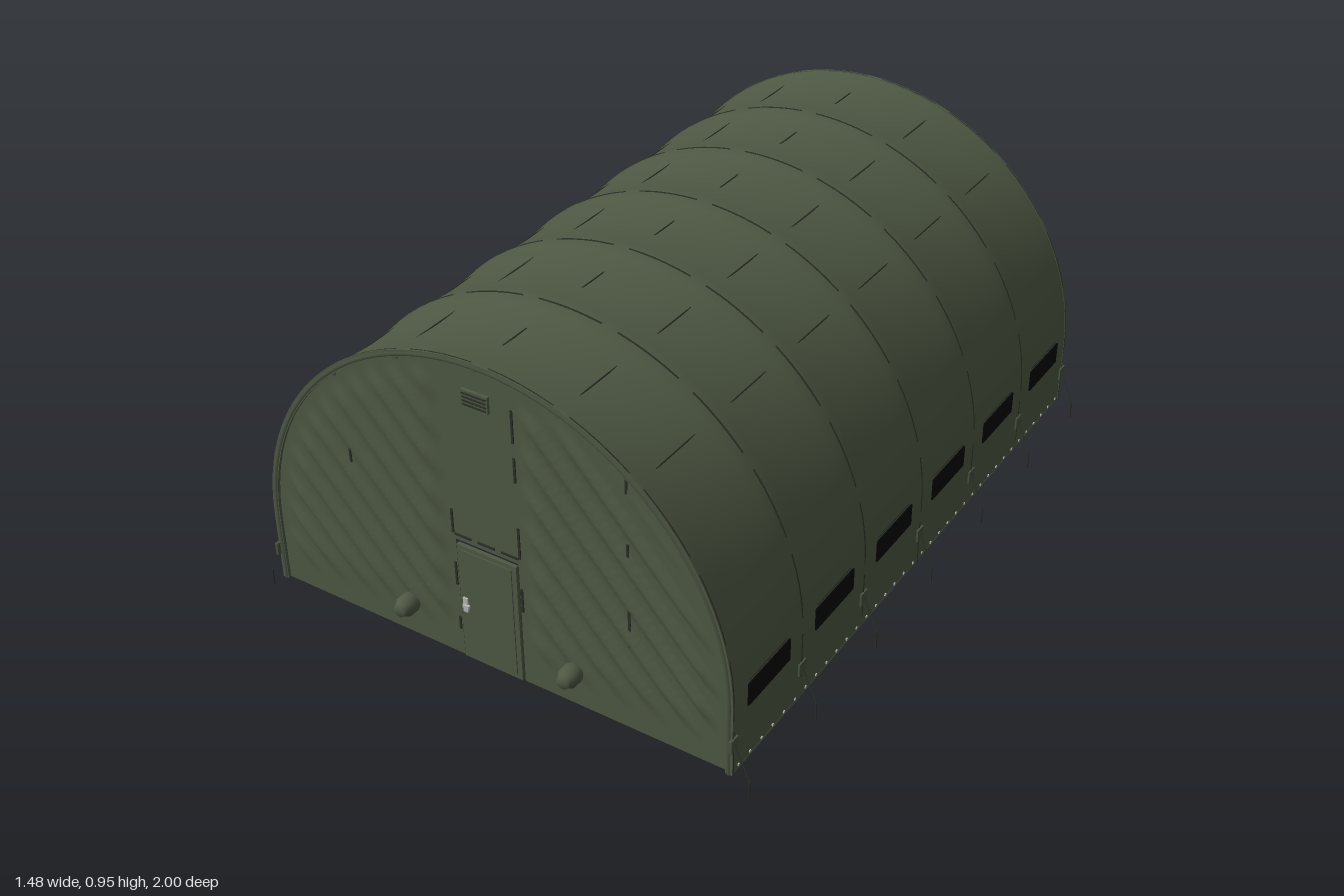
import * as THREE from 'three';
import { mergeGeometries } from 'three/addons/utils/BufferGeometryUtils.js';

const R = 0.695, BASE = 0.05, SPRING = 0.25, END = 0.945, BAY = 0.315;
const paint = (name, color, side = THREE.FrontSide) => {
  const m = new THREE.MeshStandardMaterial({ color, side });
  m.name = name;
  return m;
};
const V = (x, y, z) => new THREE.Vector3(x, y, z);

// Arch outline: straight legs below the spring line, a half circle above
function archPoints(r, z = 0, n = 48) {
  const pts = [];
  for (let i = 0; i < 6; i++) pts.push(V(r, BASE + (SPRING - BASE) * i / 6, z));
  for (let i = 0; i <= n; i++) {
    const a = Math.PI * i / n;
    pts.push(V(r * Math.cos(a), SPRING + r * Math.sin(a), z));
  }
  for (let i = 5; i >= 0; i--) pts.push(V(-r, BASE + (SPRING - BASE) * i / 6, z));
  return pts;
}

// Inward sag of the cloth between the ribs, strongest at the ridge
const sagDepth = up => 0.014 * (0.12 + 0.88 * up);
function sag(z, up) {
  const t = ((z + END) / BAY) % 1;
  return sagDepth(up) * 4 * t * (1 - t);
}

function rod(a, b, r, sides = 6) {
  const d = b.clone().sub(a);
  const g = new THREE.CylinderGeometry(r, r, d.length(), sides);
  g.applyQuaternion(new THREE.Quaternion().setFromUnitVectors(V(0, 1, 0), d.normalize()));
  const m = a.clone().add(b).multiplyScalar(0.5);
  return g.translate(m.x, m.y, m.z);
}
const block = (w, h, d, x, y, z) => new THREE.BoxGeometry(w, h, d).translate(x, y, z);

// Flat arch band of a given width
function archBand(width, depth, z) {
  const outer = archPoints(R + 0.001), inner = archPoints(R - width).reverse();
  const s = new THREE.Shape([...outer, ...inner].map(p => new THREE.Vector2(p.x, p.y)));
  return new THREE.ExtrudeGeometry(s, { depth, bevelEnabled: false }).translate(0, 0, z);
}

function shellGeometry() {
  const pts = archPoints(R), nu = pts.length - 1, nv = 60;
  const g = new THREE.PlaneGeometry(1, 1, nu, nv), pos = g.attributes.position;
  for (let i = 0; i < pos.count; i++) {
    const p = pts[i % (nu + 1)], v = Math.floor(i / (nu + 1)) / nv;
    const z = -END + 2 * END * v;
    const ny = Math.max(0, p.y - SPRING) / R, nx = p.x / R;
    const s = v === 1 ? 0 : sag(z, ny);
    pos.setXYZ(i, p.x - nx * s, p.y - ny * s, z);
  }
  g.computeVertexNormals();
  return g;
}

// End wall panel with diagonal wrinkles
function wallPanel(x0, x1, y0, nx) {
  const ny = 60, g = new THREE.PlaneGeometry(1, 1, nx, ny), pos = g.attributes.position;
  const r = R - 0.002, a0 = Math.asin(x0 / r), a1 = Math.asin(x1 / r);
  const ss = THREE.MathUtils.smoothstep;
  for (let i = 0; i < pos.count; i++) {
    const a = a0 + (a1 - a0) * (pos.getX(i) + 0.5);
    const x = r * Math.sin(a), top = SPRING + r * Math.cos(a);
    const y = y0 + (top - y0) * (pos.getY(i) + 0.5);
    const edge = r - Math.hypot(x, Math.max(0, y - SPRING));
    const mask = ss(Math.abs(x), 0.11, 0.17) * ss(edge, 0.03, 0.1) * ss(y, 0.1, 0.22);
    const fold = Math.max(0, Math.sin((x * 0.74 + y * 0.67) * 2 * Math.PI / 0.072));
    pos.setXYZ(i, x, y, 0.94 + 0.013 * mask * fold);
  }
  g.computeVertexNormals();
  return g;
}

// Softly lumpy rolled curtain following the inside of the arch
function rollGeometry() {
  const r = 0.605, pts = [V(r, 0.055, -0.967), V(r, 0.15, -0.967)];
  for (let i = 0; i <= 8; i++) {
    const a = i / 8 * 0.93, q = r + 0.006 * Math.sin(i * 2.3);
    pts.push(V(q * Math.cos(a), SPRING + q * Math.sin(a), -0.967));
  }
  const curve = new THREE.CatmullRomCurve3(pts), n = 70, sides = 14;
  const g = new THREE.TubeGeometry(curve, n, 0.027, sides), pos = g.attributes.position, p = V();
  for (let i = 0; i < pos.count; i++) {
    const k = Math.floor(i / (sides + 1)), c = curve.getPointAt(k / n);
    const f = 1 + 0.09 * Math.sin(k * 0.5) + 0.05 * Math.sin(k * 0.23 + 1);
    p.fromBufferAttribute(pos, i).sub(c).multiplyScalar(f).add(c);
    pos.setXYZ(i, p.x, p.y, p.z);
  }
  g.computeVertexNormals();
  const caps = [0, 1].map(t => {
    const c = curve.getPointAt(t);
    return new THREE.SphereGeometry(0.027, 14, 8).scale(1, 0.6, 1).translate(c.x, c.y + (t ? 0 : 0.01), c.z);
  });
  return mergeGeometries([g, ...caps]);
}

export function createModel() {
  const group = new THREE.Group();
  const cloth = paint('olive cloth', 0x4e5843, THREE.DoubleSide);
  const trim = paint('olive trim', 0x485240);
  const dark = paint('dark seam', 0x2b3026);
  const black = paint('black mesh', 0x030303);
  const metal = paint('grey metal', 0xb4b6b2);
  const add = (name, geo, mat) => {
    const m = new THREE.Mesh(Array.isArray(geo) ? mergeGeometries(geo) : geo, mat);
    m.name = name;
    group.add(m);
    return m;
  };

  // Cloth cover, hems and front wall
  add('cover', shellGeometry(), cloth);
  add('frontHem', archBand(0.018, 0.006, 0.944), cloth);
  add('backHem', archBand(0.05, 0.01, -0.95), cloth);
  add('frontWall', [
    wallPanel(-R + 0.003, -0.094, BASE, 90),
    wallPanel(-0.094, 0.094, 0.412, 10),
    wallPanel(0.094, R - 0.003, BASE, 90),
  ], cloth);

  // Arch ribs inside, broken dark seams over them outside
  const ribCurve = new THREE.CatmullRomCurve3(archPoints(R - 0.01));
  const seamPoints = archPoints(R - 0.0005);
  const ribs = [], seams = [];
  for (let i = 0; i < 7; i++) {
    const z = -END + i * BAY;
    ribs.push(new THREE.TubeGeometry(ribCurve, 90, 0.008, 6).translate(0, 0, z));
    for (let k = i % 3; k + 4 < seamPoints.length; k += 5) {
      const dash = new THREE.CatmullRomCurve3(seamPoints.slice(k, k + 5));
      seams.push(new THREE.TubeGeometry(dash, 8, 0.0025, 5).translate(0, 0, z));
    }
  }
  add('ribs', ribs, trim);
  add('ribSeams', seams, dark);

  // Lengthwise purlins inside, short creases over them in each bay
  const purlins = [], creases = [];
  for (const deg of [-87, -40, -20, 0, 20, 40, 87]) {
    const a = deg * Math.PI / 180, up = Math.cos(a), r = R - sagDepth(up);
    const at = (q, z) => V(q * Math.sin(a), SPRING + q * up, z);
    const half = deg === 0 ? 0.045 : 0.085;
    purlins.push(rod(at(r - 0.008, -END), at(r - 0.008, END), 0.006));
    for (let i = 0; i < 6; i++) {
      const z = (i - 2.5) * BAY;
      creases.push(rod(at(r + 0.001, z - half), at(r + 0.001, z + half), 0.002));
    }
  }
  add('purlins', purlins, trim);
  add('purlinCreases', creases, dark);

  // Ground rails and back posts
  const sideRails = [], posts = [];
  for (const s of [-1, 1]) {
    sideRails.push(rod(V(s * (R - 0.004), BASE + 0.003, -END), V(s * (R - 0.004), BASE + 0.003, END), 0.005));
    posts.push(rod(V(s * 0.45, BASE, -0.94), V(s * 0.45, 0.77, -0.94), 0.004));
  }
  add('backRail', rod(V(-R, BASE, -0.94), V(R, BASE, -0.94), 0.004), dark);
  add('sideRails', sideRails, trim);
  add('backPosts', posts, trim);

  // Broken seams on the front wall: x, bottom, top
  const wallSeams = [[0.1, 0.43, 0.52], [0.1, 0.65, 0.72], [0.1, 0.76, 0.85], [-0.1, 0.43, 0.5], [-0.1, 0.13, 0.17],
    [-0.1, 0.27, 0.34], [0.1, 0.27, 0.34], [0.41, 0.3, 0.42], [0.41, 0.52, 0.6], [0.41, 0.74, 0.79], [-0.41, 0.52, 0.6]]
    .map(([x, a, b]) => block(0.006, b - a, 0.004, x, (a + b) / 2, 0.941));
  for (const x of [-0.07, 0, 0.07]) wallSeams.push(block(0.05, 0.006, 0.004, x, 0.428, 0.941));
  add('wallSeams', wallSeams, dark);

  // Front door with raised panel and handle
  add('door', [block(0.178, 0.35, 0.01, 0, 0.227, 0.94), block(0.15, 0.325, 0.004, 0, 0.227, 0.946)], cloth);
  add('doorHandle', [block(0.014, 0.042, 0.008, -0.07, 0.225, 0.949), block(0.018, 0.008, 0.008, -0.065, 0.225, 0.955)], metal);
  add('backLatch', block(0.04, 0.028, 0.006, 0.15, 0.29, -0.94), metal);
  add('ridgeLamp', block(0.03, 0.012, 0.22, 0, 0.905, -0.64), metal);

  // Vents at both ends, louvred at the front
  for (const z of [0.943, -0.943]) add('vent', block(0.076, 0.046, 0.01, 0, 0.842, z), cloth);
  add('ventSlats', [0, 1, 2, 3].map(i => block(0.068, 0.004, 0.004, 0, 0.827 + i * 0.01, 0.949)), dark);

  // Capped duct ports either side of the door
  const port = new THREE.LatheGeometry([[0.022, 0], [0.028, 0.012], [0.028, 0.038], [0.019, 0.05], [0.016, 0.06], [0, 0.06]]
    .map(([x, y]) => new THREE.Vector2(x, y)), 20).rotateX(Math.PI / 2);
  for (const s of [-1, 1]) add('ductPort', port, cloth).position.set(s * 0.25, 0.157, 0.939);

  // Rolled curtains at the open end
  const roll = rollGeometry();
  for (const s of [-1, 1]) add('rolledCurtain', roll, cloth).scale.x = s;

  // Side windows, buckles, flat guy straps with stakes, and hem eyelets
  const windows = [], buckles = [], ropes = [], eyelets = [];
  for (const s of [-1, 1]) {
    for (let i = 0; i < 6; i++) windows.push(block(0.004, 0.064, 0.19, s * 0.6965, 0.248, (i - 2.5) * BAY));
    for (let i = 0; i < 7; i++) {
      const z = -END + i * BAY;
      buckles.push(block(0.008, 0.036, 0.032, s * 0.6955, 0.145, z));
      ropes.push(rod(V(s * 0.697, 0.15, 0), V(s * 0.74, 0.05, 0), 0.002).scale(1, 1, 0.2).translate(0, 0, z));
      ropes.push(rod(V(s * 0.74, 0.05, z), V(s * 0.74, 0, z), 0.002));
    }
    for (let i = 0; i < 36; i++) eyelets.push(block(0.003, 0.006, 0.006, s * 0.6955, 0.064, -0.92 + i * 0.0526));
  }
  add('windows', windows, black);
  add('buckles', buckles, trim);
  add('guyRopes', ropes, dark);
  add('eyelets', eyelets, metal);
  return group;
}
